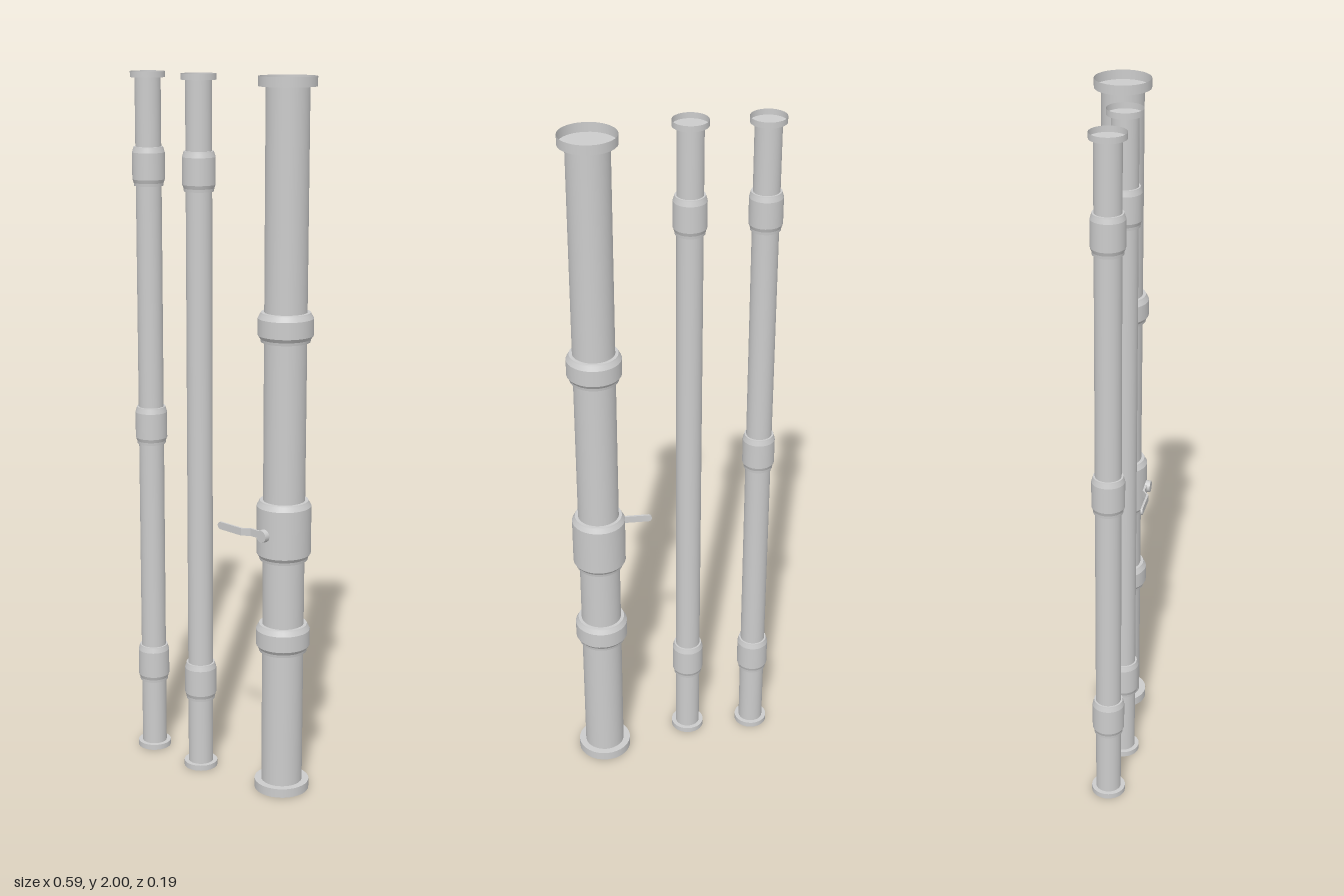
import * as THREE from 'three';

const material = new THREE.MeshStandardMaterial({ color: 0xcccccc, side: THREE.DoubleSide });
const SIDES = 32;

function add(parent, name, geometry, x = 0, y = 0, z = 0) {
  const mesh = new THREE.Mesh(geometry, material);
  mesh.name = name;
  mesh.position.set(x, y, z);
  parent.add(mesh);
  return mesh;
}

// Lathe with crisp edges: each profile segment becomes its own band
function addBands(parent, name, profile) {
  const part = new THREE.Group();
  part.name = name;
  for (let i = 0; i < profile.length - 1; i++) {
    const points = [profile[i], profile[i + 1]].map(([r, y]) => new THREE.Vector2(r, y));
    add(part, name + 'Band', new THREE.LatheGeometry(points, SIDES));
  }
  parent.add(part);
}

// Sleeve around a pipe with a sloped shoulder and a stepped lower lip
function addSleeve(parent, name, pipeR, r, bottom, top) {
  const c = (r - pipeR) * 0.4;
  addBands(parent, name, [
    [pipeR, bottom], [r - c * 1.2, bottom], [r - c, bottom + 0.008], [r, bottom + 0.018],
    [r, top - 0.016], [r - c, top - 0.003], [r - c * 1.2, top], [pipeR, top],
  ]);
}

function makePipe({ name, x, z, r, flangeR, flangeH, sleeveR, sleeves }) {
  const pipe = new THREE.Group();
  pipe.name = name;
  pipe.position.set(x, 0, z);
  add(pipe, 'tube', new THREE.CylinderGeometry(r, r, 2 - 2 * flangeH, SIDES, 1, true), 0, 1, 0);
  // Open rims with a recessed floor at both ends
  addBands(pipe, 'bottomFlange', [[flangeR, 0], [flangeR, flangeH], [0, flangeH]]);
  addBands(pipe, 'topFlange', [[0, 2 - flangeH], [flangeR, 2 - flangeH], [flangeR, 2]]);
  for (const [label, bottom, top] of sleeves) addSleeve(pipe, label, r, sleeveR, bottom, top);
  return pipe;
}

function makeHandle() {
  const handle = new THREE.Group();
  handle.name = 'valveHandle';
  const y = 0.772, h = 0.021, t = 0.003;

  // Spindle boss on the front of the valve
  const boss = new THREE.CylinderGeometry(0.017, 0.0195, 0.03, 20).rotateX(Math.PI / 2);
  add(handle, 'valveSpindle', boss, 0.215, y, 0.056);

  // Cranked flat lever, drawn from above and extruded upward
  const path = [[0.066, 0.075], [0.146, 0.075], [0.168, 0.059], [0.215, 0.059]];
  const outline = [
    ...path.map(([x, z]) => new THREE.Vector2(x, -z - t)),
    ...path.map(([x, z]) => new THREE.Vector2(x, -z + t)).reverse(),
  ];
  const lever = new THREE.ExtrudeGeometry(new THREE.Shape(outline), { depth: h, bevelEnabled: false });
  lever.rotateX(-Math.PI / 2);
  add(handle, 'lever', lever, 0, y - h / 2, 0);

  // Rounded tip
  const tip = new THREE.CylinderGeometry(h / 2, h / 2, 2 * t, 16, 1, false, Math.PI, Math.PI);
  add(handle, 'leverTip', tip.rotateX(Math.PI / 2), 0.066, y, 0.075);
  return handle;
}

export function createModel() {
  const model = new THREE.Group();
  model.name = 'pipes';
  const thin = { z: 0.045, r: 0.036, flangeR: 0.0485, flangeH: 0.016, sleeveR: 0.0455 };
  const lower = ['lowerSleeve', 0.214, 0.325];
  const middle = ['middleSleeve', 0.947, 1.056];
  const upper = ['upperSleeve', 1.688, 1.796];

  model.add(makePipe({ ...thin, name: 'outerThinPipe', x: -0.248, sleeves: [lower, middle, upper] }));
  model.add(makePipe({ ...thin, name: 'innerThinPipe', x: -0.048, sleeves: [lower, upper] }));
  model.add(makePipe({
    name: 'mainPipe', x: 0.218, z: -0.018, r: 0.058,
    flangeR: 0.0775, flangeH: 0.026, sleeveR: 0.0755,
    sleeves: [['lowerSleeve', 0.42, 0.5], ['valveBody', 0.69, 0.86], ['upperSleeve', 1.303, 1.383]],
  }));
  model.add(makeHandle());
  return model;
}
